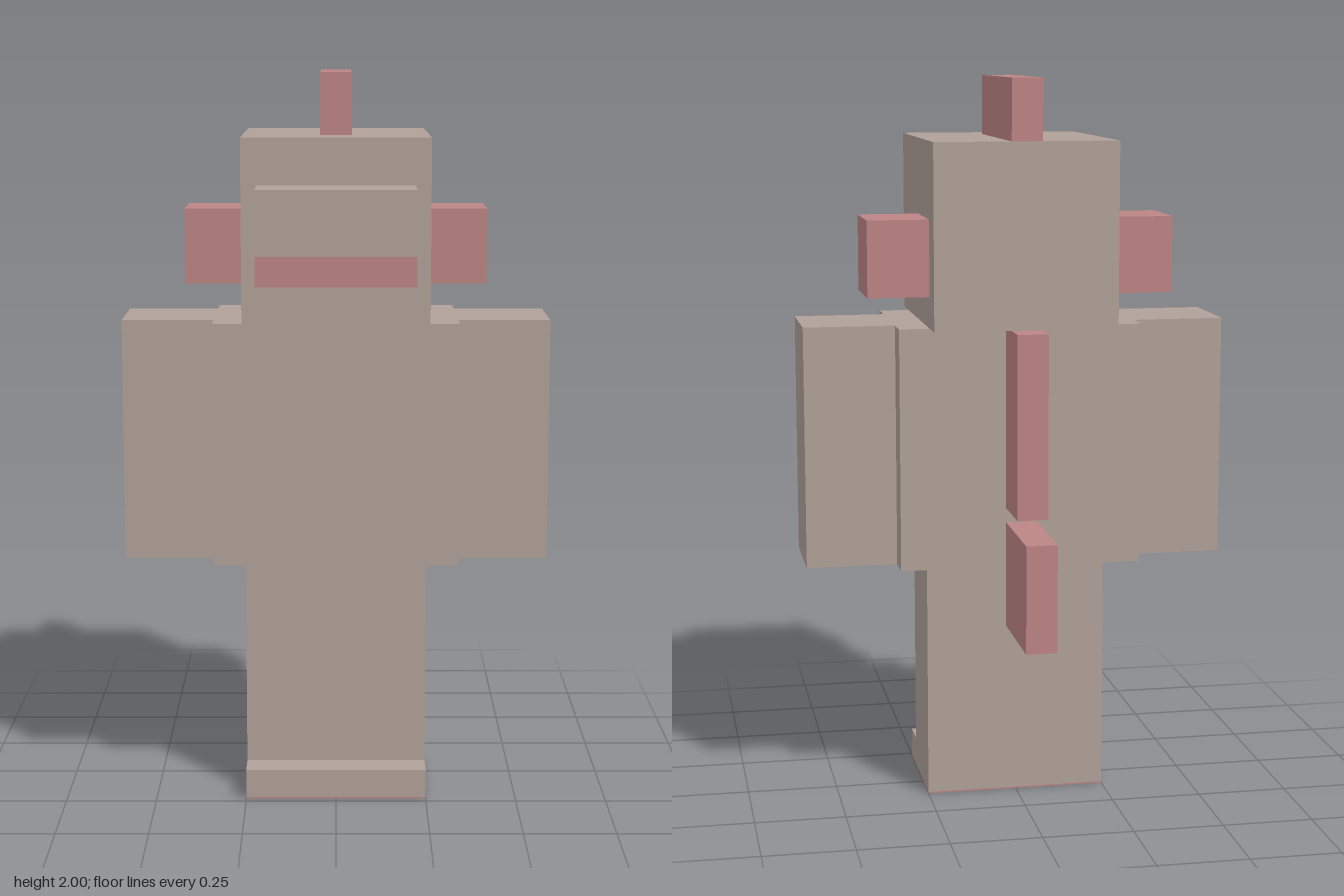
import * as THREE from 'three';

export function createModel() {
  const model = new THREE.Group();
  const taupe = new THREE.MeshStandardMaterial({ color: 0xb0a198 });
  taupe.name = 'taupe';
  const rose = new THREE.MeshStandardMaterial({ color: 0xbd8484 });
  rose.name = 'dusty rose';

  // Box given by its extents on each axis
  function box(name, material, [x0, x1], [y0, y1], [z0, z1]) {
    const mesh = new THREE.Mesh(new THREE.BoxGeometry(x1 - x0, y1 - y0, z1 - z0), material);
    mesh.position.set((x0 + x1) / 2, (y0 + y1) / 2, (z0 + z1) / 2);
    mesh.name = name;
    model.add(mesh);
  }

  // Legs, foot, and trunk
  const sole = 0.004;
  box('legs', taupe, [-0.25, 0.25], [sole, 0.67], [-0.104, 0.146]);
  box('foot', taupe, [-0.25, 0.25], [sole, 0.083], [0.146, 0.23]);
  box('torso', taupe, [-0.333, 0.333], [0.67, 1.335], [-0.187, 0.23]);

  // Head with muzzle and mouth stripe
  box('head', taupe, [-0.25, 0.25], [1.335, 1.835], [-0.27, 0.312]);
  box('muzzle', taupe, [-0.208, 0.208], [1.38, 1.71], [0.312, 0.477]);
  box('mouth', rose, [-0.208, 0.208], [1.462, 1.54], [0.477, 0.48]);

  // Paired arms and ears
  for (const [label, s] of [['left', 1], ['right', -1]]) {
    const span = (a, b) => [a * s, b * s].sort((p, q) => p - q);
    box(label + 'Arm', taupe, span(0.333, 0.583), [0.67, 1.335], [-0.104, 0.146]);
    box(label + 'Ear', rose, span(0.25, 0.417), [1.42, 1.627], [-0.187, 0.02]);
  }

  // Fins along the crown, back and tail
  const fin = [-0.042, 0.042];
  box('crownFin', rose, fin, [1.835, 2], [-0.27, 0.187]);
  box('backFin', rose, fin, [0.835, 1.335], [-0.354, -0.187]);
  box('tailFin', rose, fin, [0.502, 0.795], [-0.48, -0.187]);

  // Thin sole with two oval openings showing the foot above
  const outline = new THREE.Shape([[-0.25, -0.104], [0.25, -0.104], [0.25, 0.23], [-0.25, 0.23]]
    .map(([x, z]) => new THREE.Vector2(x, z)));
  for (const x of [-0.115, 0.125]) {
    outline.holes.push(new THREE.Path().absellipse(x, 0.04, 0.09, 0.12, 0, Math.PI * 2, true));
  }
  const solePlate = new THREE.Mesh(
    new THREE.ExtrudeGeometry(outline, { depth: sole, bevelEnabled: false, curveSegments: 16 }), rose);
  solePlate.rotation.x = Math.PI / 2;
  solePlate.position.y = sole;
  solePlate.name = 'sole';
  model.add(solePlate);

  return model;
}
